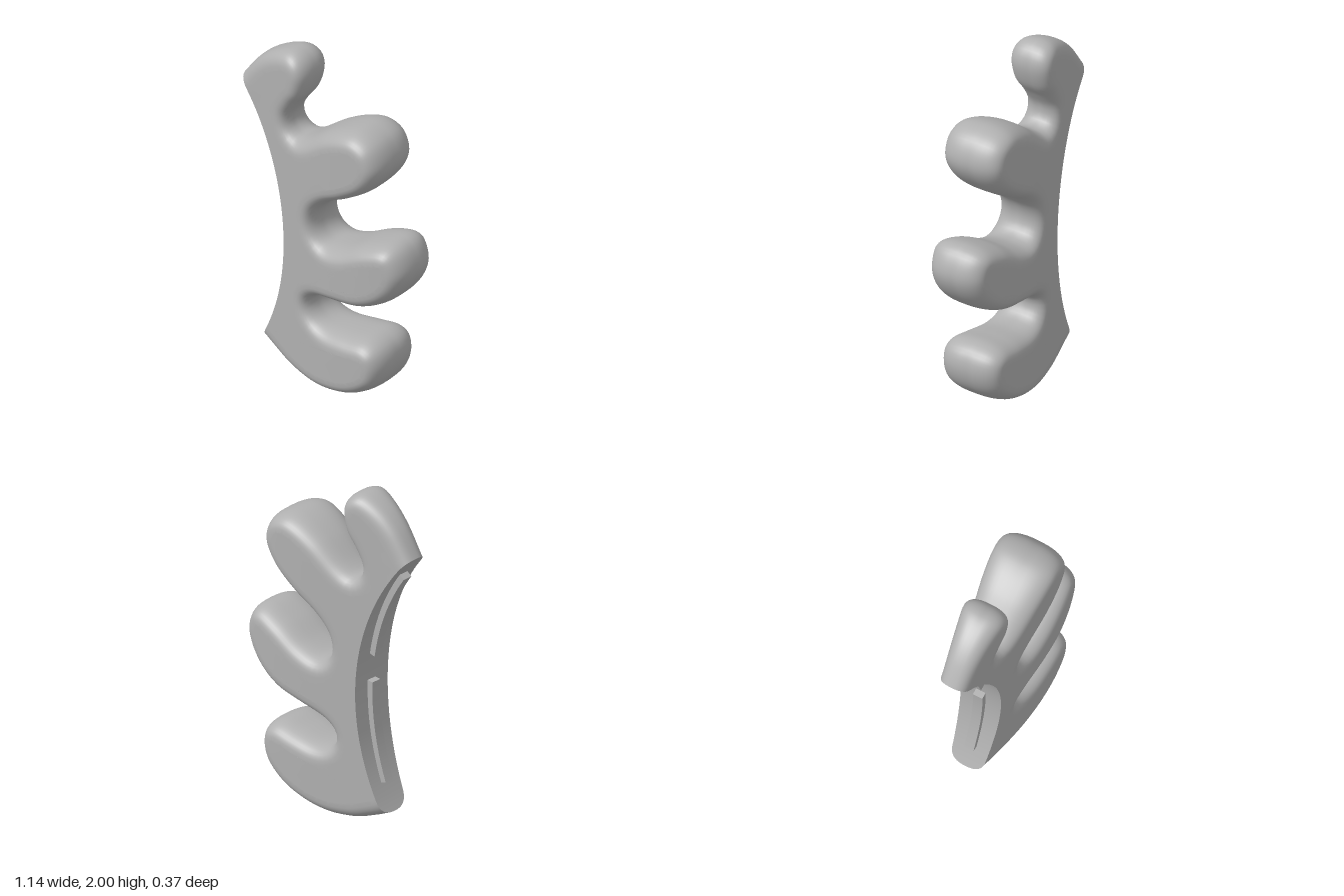
import * as THREE from 'three';
import { mergeVertices } from 'three/addons/utils/BufferGeometryUtils.js';

// Circle of the concave mounting edge
const CX = -1.642, CY = 0.81, R = 1.403;
const arcPoint = (a, r = R) => new THREE.Vector2(CX + r * Math.cos(a), CY + r * Math.sin(a));

// Outer outline of the four lobes, from the upper tip round to the lower tip
const OUTLINE = [
  [-0.575, 1.72], [-0.47, 1.86], [-0.36, 1.95], [-0.24, 1.997], [-0.155, 1.965], [-0.12, 1.88],
  [-0.145, 1.76], [-0.205, 1.67], [-0.245, 1.59], [-0.235, 1.52], [-0.18, 1.487], [-0.105, 1.52],
  [0.035, 1.625], [0.165, 1.69], [0.27, 1.705], [0.37, 1.66], [0.42, 1.56], [0.405, 1.465],
  [0.325, 1.36], [0.195, 1.265], [0.06, 1.185], [-0.02, 1.105], [-0.045, 1.02], [-0.02, 0.947],
  [0.045, 0.915], [0.155, 0.947], [0.3, 1.025], [0.44, 1.07], [0.525, 1.037], [0.57, 0.925],
  [0.535, 0.81], [0.44, 0.705], [0.3, 0.63], [0.125, 0.593], [0, 0.565], [-0.065, 0.52],
  [-0.07, 0.46], [-0.025, 0.408], [0.06, 0.39], [0.195, 0.407], [0.325, 0.423], [0.41, 0.38],
  [0.437, 0.28], [0.395, 0.165], [0.27, 0.07], [0.115, 0.017], [-0.045, 0.002], [-0.205, 0.03],
  [-0.32, 0.08], [-0.415, 0.13],
].map(([x, y]) => new THREE.Vector2(x, y));

// Half thickness: thin at the mounting edge, fat towards the lobe ends
const halfDepth = (x) =>
  0.08 + 0.107 * THREE.MathUtils.smoothstep(x, -0.62, 0.3) - 0.45 * Math.max(0, x - 0.3) ** 2;

const N = 260, RINGS = 10, INSET = 0.095, POWER = 2.6, ARC_STEPS = 40;

function makeGeometry(positions) {
  const g = new THREE.BufferGeometry();
  g.setAttribute('position', new THREE.Float32BufferAttribute(positions, 3));
  const merged = mergeVertices(g, 1e-5);
  merged.computeVertexNormals();
  return merged;
}

function buildBody() {
  const pts = new THREE.SplineCurve(OUTLINE).getSpacedPoints(N);
  const first = pts[0], last = pts[N];
  const a0 = Math.atan2(first.y - CY, first.x - CX);
  const a1 = Math.atan2(last.y - CY, last.x - CX);
  const inward = pts.map((p, i) => {
    const t = pts[Math.min(N, i + 2)].clone().sub(pts[Math.max(0, i - 2)]).normalize();
    return new THREE.Vector2(t.y, -t.x);
  });

  // Inset rings that roll the outline over into the flat face
  const rings = [];
  for (let k = 0; k <= RINGS; k++) {
    const t = (k / RINGS) * Math.PI / 2;
    const d = INSET * (1 - Math.max(0, Math.cos(t)) ** (2 / POWER));
    const level = k === 0 ? 0 : Math.sin(t) ** (2 / POWER);
    rings.push(pts.map((p, i) => {
      let q = p.clone().addScaledVector(inward[i], d);
      if (i === 0) q = arcPoint(a0 - d / R);
      if (i === N) q = arcPoint(a1 + d / R);
      return new THREE.Vector3(q.x, q.y, level * halfDepth(q.x));
    }));
  }

  // Each front triangle is mirrored to the back
  const skin = [];
  const addTriangle = (a, b, c) => {
    const area = (b.x - a.x) * (c.y - a.y) - (c.x - a.x) * (b.y - a.y);
    if (area < 0) [b, c] = [c, b];
    for (const v of [a, b, c]) skin.push(v.x, v.y, v.z);
    for (const v of [a, c, b]) skin.push(v.x, v.y, -v.z);
  };
  for (let k = 0; k < RINGS; k++) {
    for (let i = 0; i < N; i++) {
      const o = rings[k], n = rings[k + 1];
      addTriangle(o[i], n[i], n[i + 1]);
      addTriangle(o[i], n[i + 1], o[i + 1]);
    }
  }

  // Face inside the last ring, split finely so it follows the swelling
  const inner = rings[RINGS];
  const s0 = a0 - INSET / R, s1 = a1 + INSET / R;
  const arc = [];
  for (let i = 1; i < ARC_STEPS; i++) {
    const q = arcPoint(s0 + (s1 - s0) * i / ARC_STEPS);
    arc.push(new THREE.Vector3(q.x, q.y, halfDepth(q.x)));
  }
  const loop = [...inner, ...arc.slice().reverse()];
  const split = (a, b, c) => {
    const ab = a.distanceTo(b), bc = b.distanceTo(c), ca = c.distanceTo(a);
    const longest = Math.max(ab, bc, ca);
    if (longest < 0.08) return addTriangle(a, b, c);
    if (longest === bc) [a, b, c] = [b, c, a];
    else if (longest === ca) [a, b, c] = [c, a, b];
    const m = a.clone().add(b).multiplyScalar(0.5);
    m.z = halfDepth(m.x);
    split(a, m, c);
    split(m, b, c);
  };
  const flat = loop.map((v) => new THREE.Vector2(v.x, v.y));
  for (const [i, j, k] of THREE.ShapeUtils.triangulateShape(flat, [])) split(loop[i], loop[j], loop[k]);

  // Concave mounting edge across the thickness
  const edge = [...rings.map((r) => r[0]), ...arc, ...rings.map((r) => r[N]).reverse()];
  const wall = [];
  for (let i = 0; i < edge.length - 1; i++) {
    const p = edge[i], q = edge[i + 1];
    wall.push(p.x, p.y, p.z, q.x, q.y, -q.z, q.x, q.y, q.z);
    wall.push(p.x, p.y, p.z, p.x, p.y, -p.z, q.x, q.y, -q.z);
  }
  return { skin: makeGeometry(skin), wall: makeGeometry(wall) };
}

// Curved rib standing out of the mounting edge
function buildRib(from, to) {
  const s = new THREE.Shape();
  s.absarc(CX, CY, R + 0.01, from, to, false);
  s.absarc(CX, CY, R - 0.036, to, from, true);
  const g = new THREE.ExtrudeGeometry(s, { depth: 0.056, bevelEnabled: false, curveSegments: 24 });
  return g.translate(0, 0, -0.028);
}

export function createModel() {
  const model = new THREE.Group();
  const grey = new THREE.MeshStandardMaterial({ color: 0xb0b0b0 });
  grey.name = 'grey';
  const add = (name, geometry) => {
    const mesh = new THREE.Mesh(geometry, grey);
    mesh.name = name;
    model.add(mesh);
  };
  const body = buildBody();
  add('lobedBody', body.skin);
  add('mountingEdge', body.wall);
  add('upperRib', buildRib(0.157, 0.597));
  add('lowerRib', buildRib(-0.385, 0.037));
  return model;
}
